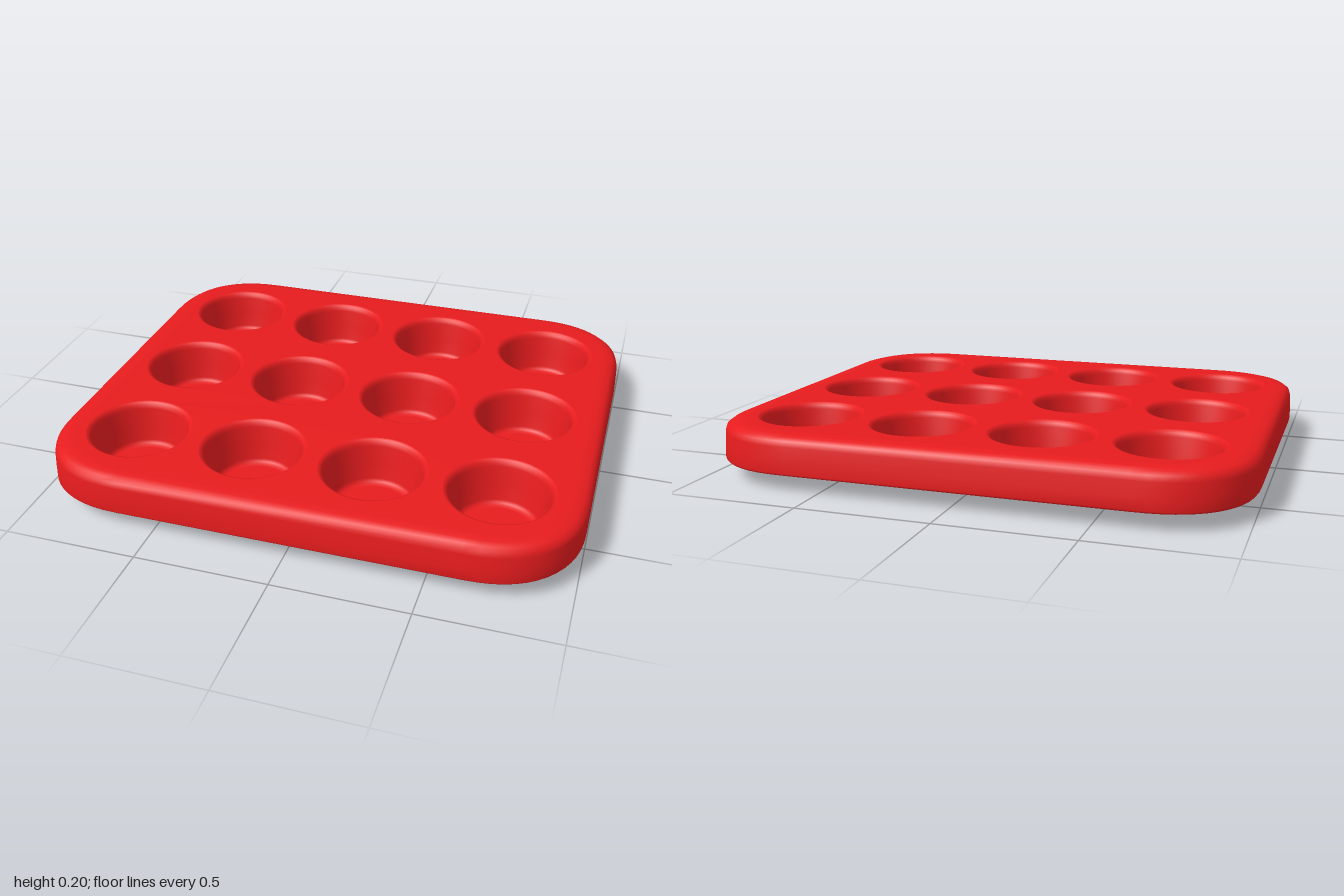
import * as THREE from 'three';

const HALF_X = 1, HALF_Z = 0.865, CORNER = 0.37;
const TOP = 0.205, BOTTOM = 0.047;
const COLS = [-0.69, -0.23, 0.23, 0.69], ROWS = [-0.52, 0, 0.52];
const SEG = 48;

// Rounded outline with slightly squared corners, pulled inward on x and z
function outline(insetX, insetZ) {
  const pts = [], n = 14;
  const squared = (v) => Math.sign(v) * Math.pow(Math.abs(v), 0.855);
  [[1, 1], [-1, 1], [-1, -1], [1, -1]].forEach(([sx, sz], q) => {
    for (let i = 0; i <= n; i++) {
      const a = (q + i / n) * Math.PI / 2;
      pts.push(new THREE.Vector2(
        sx * (HALF_X - CORNER) + (CORNER - insetX) * squared(Math.cos(a)),
        sz * (HALF_Z - CORNER) + (CORNER - insetZ) * squared(Math.sin(a))));
    }
  });
  return pts;
}

// Sweep an [insetX, insetZ, y] profile (bottom to top) around the outline
function sweep(profile) {
  const pos = [], idx = [];
  let n = 0;
  for (const [insetX, insetZ, y] of profile) {
    const loop = outline(insetX, insetZ);
    n = loop.length;
    for (const p of loop) pos.push(p.x, y, p.y);
  }
  for (let j = 0; j < profile.length - 1; j++) {
    for (let i = 0; i < n; i++) {
      const a = j * n + i, c = j * n + (i + 1) % n;
      idx.push(a, a + n, c, a + n, c + n, c);
    }
  }
  const g = new THREE.BufferGeometry();
  g.setAttribute('position', new THREE.Float32BufferAttribute(pos, 3));
  g.setIndex(idx);
  g.computeVertexNormals();
  return g;
}

// Flat sheet with a round opening at every cup
function sheet(inset, holeRadius, y, up) {
  const shape = new THREE.Shape(outline(inset, inset));
  for (const x of COLS) for (const z of ROWS) {
    const hole = new THREE.Path();
    hole.absarc(x, z, holeRadius, 0, Math.PI * 2, true);
    shape.holes.push(hole);
  }
  return new THREE.ShapeGeometry(shape, SEG / 2)
    .rotateX(up ? -Math.PI / 2 : Math.PI / 2).translate(0, y, 0);
}

const lathe = (pts) =>
  new THREE.LatheGeometry(pts.map(([r, y]) => new THREE.Vector2(r, y)), SEG);

export function createModel() {
  const red = new THREE.MeshStandardMaterial({ color: 0xe81c1e });
  red.name = 'red';
  const tan = new THREE.MeshStandardMaterial({ color: 0xecc494 });
  tan.name = 'tan';

  const model = new THREE.Group();
  model.name = 'muffinTray';
  const add = (parent, name, geometry, material) => {
    const mesh = new THREE.Mesh(geometry, material);
    mesh.name = name;
    parent.add(mesh);
  };

  // Tray shell: upright ends, slightly sloped front and back
  add(model, 'trayRim', sweep([
    [0.085, 0.085, BOTTOM], [0.07, 0.07, 0.049], [0.03, 0.03, 0.056],
    [0.006, 0.006, 0.062], [0, 0, 0.07], [0, 0.004, 0.11], [0.002, 0.01, 0.165],
    [0.008, 0.016, 0.185], [0.025, 0.029, 0.197], [0.05, 0.05, 0.203],
    [0.075, 0.075, TOP], [0.09, 0.09, TOP],
  ]), red);
  add(model, 'trayTop', sheet(0.09, 0.2, TOP, true), red);
  add(model, 'trayUnderside', sheet(0.085, 0.205, BOTTOM, false), red);

  // Cup parts, shared by all twelve cups
  const parts = [
    ['cupInside', lathe([[0.2, TOP], [0.192, 0.202], [0.185, 0.194], [0.18, 0.18],
      [0.168, 0.11], [0.157, 0.05], [0.152, 0.038], [0.143, 0.032],
      [0.13, 0.03], [0, 0.03]]), red],
    ['cupBulge', lathe([[0.15, 0.003], [0.158, 0.012], [0.178, 0.034],
      [0.19, 0.043], [0.205, BOTTOM]]), red],
    ['cupBase', lathe([[0, 0.006], [0.102, 0.006]]), red],
    ['cupBaseWall', lathe([[0.102, 0.006], [0.104, 0]]), red],
    ['footRing', lathe([[0.104, 0], [0.148, 0]]), tan],
    ['footRingEdge', lathe([[0.148, 0], [0.15, 0.003]]), tan],
  ];
  for (const x of COLS) for (const z of ROWS) {
    const cup = new THREE.Group();
    cup.name = 'cup';
    cup.position.set(x, 0, z);
    for (const [name, geometry, material] of parts) add(cup, name, geometry, material);
    model.add(cup);
  }
  return model;
}
